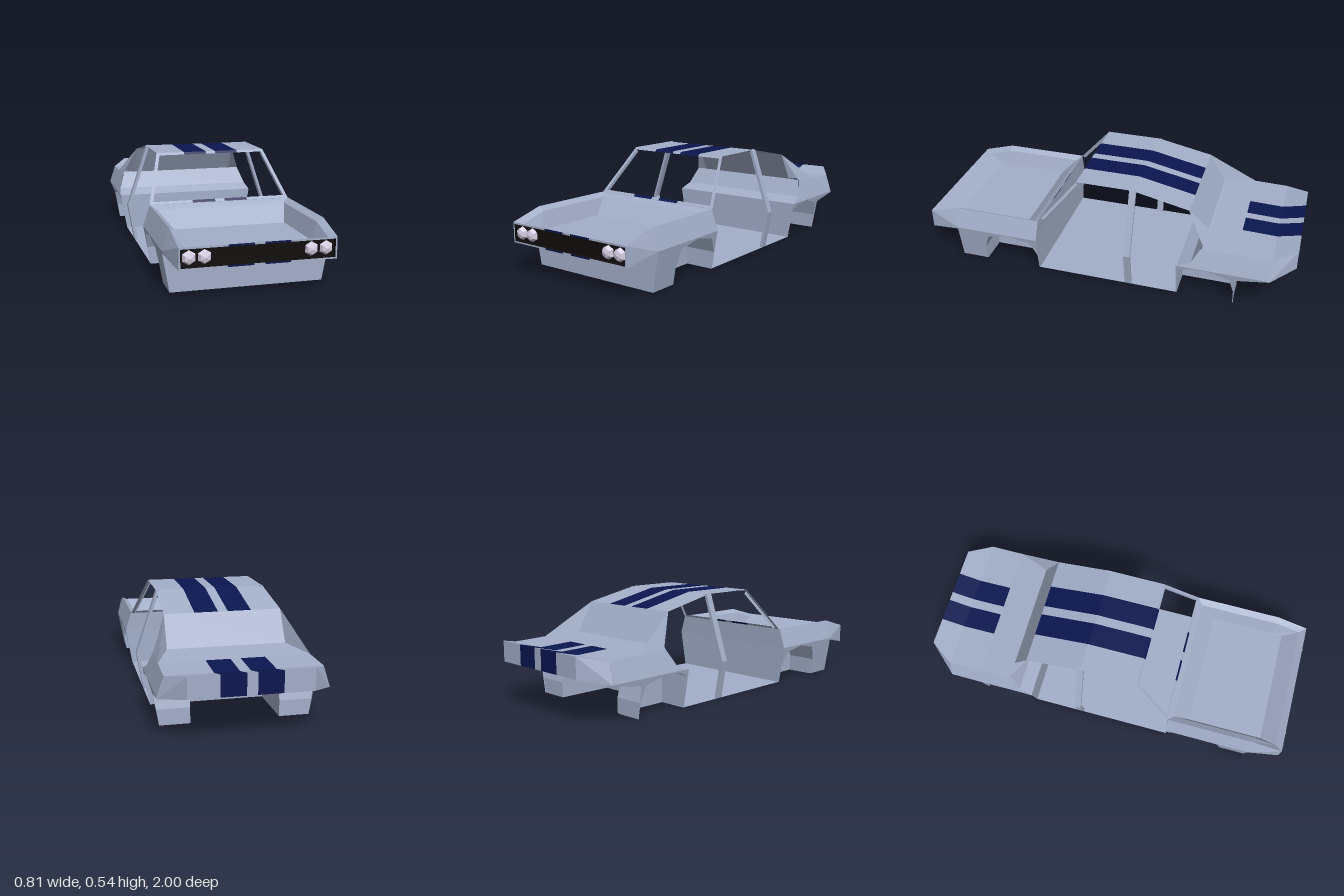
import * as THREE from 'three';

const mat = (color) => new THREE.MeshStandardMaterial({ color, flatShading: true, side: THREE.DoubleSide });

export function createModel() {
  const car = new THREE.Group();
  const paint = mat(0xa3aec8), navy = mat(0x0b1650), black = mat(0x0f0d0b), lampMat = mat(0xd8d0e6);

  const add = (name, geo, material = paint) => {
    geo.computeVertexNormals();
    const m = new THREE.Mesh(geo, material);
    m.name = name;
    car.add(m);
    return m;
  };

  // Sheet lofted through rows of [x, y, z] points
  const grid = (rows, closed = false) => {
    const n = rows[0].length, idx = [];
    for (let r = 0; r < rows.length - 1; r++) {
      for (let i = 0; i < (closed ? n : n - 1); i++) {
        const a = r * n + i, b = r * n + (i + 1) % n;
        idx.push(a, b, a + n, b, b + n, a + n);
      }
    }
    const g = new THREE.BufferGeometry();
    g.setAttribute('position', new THREE.Float32BufferAttribute(rows.flat(2), 3));
    g.setIndex(idx);
    return g;
  };

  // Sheet across the car, from a path of [z, y, halfWidth]
  const across = (path) => grid(path.map(([z, y, w]) => [[-w, y, z], [w, y, z]]));

  // The same, cut lengthwise into body colour and two racing stripes
  const striped = (name, path) => {
    for (let i = 0; i < 5; i++) {
      const cuts = (w) => [-w, -0.145, -0.025, 0.025, 0.145, w];
      const rows = path.map(([z, y, w]) => [[cuts(w)[i], y, z], [cuts(w)[i + 1], y, z]]);
      add(i % 2 ? name + 'Stripe' : name, grid(rows), i % 2 ? navy : paint);
    }
  };

  // Flat polygon whose points are placed by a rule
  const polygon = (pts, place) => {
    const g = new THREE.ShapeGeometry(new THREE.Shape(pts.map((p) => new THREE.Vector2(...p))));
    const p = g.attributes.position;
    for (let i = 0; i < p.count; i++) p.setXYZ(i, ...place(p.getX(i), p.getY(i)));
    return g;
  };

  // Half width of the body at height y, narrowing towards nose and tail
  const section = [[0, 0.37], [0.2, 0.405], [0.305, 0.37], [0.475, 0.298], [0.537, 0.292]];
  const halfWidth = (y, z) => {
    let k = 0;
    while (k < section.length - 2 && y > section[k + 1][0]) k++;
    const [y0, x0] = section[k], [y1, x1] = section[k + 1];
    const w = x0 + (x1 - x0) * (y - y0) / (y1 - y0);
    if (z > 0.82) return w + (0.366 - w) * (z - 0.82) / 0.17;
    if (z < -0.88) return w + (0.29 - w) * (-0.88 - z) / 0.12;
    return w;
  };

  // Side panels, given as [z, y] outlines and mirrored
  const sidePanel = (name, pts) => {
    for (const s of [1, -1]) add(name, polygon(pts, (z, y) => [s * halfWidth(y, z), y, z]));
  };
  const frontArch = [[0.365, 0], [0.365, 0.09], [0.4, 0.17], [0.525, 0.195], [0.64, 0.17], [0.672, 0.09], [0.672, 0]];
  const rearArch = [[-0.41, 0], [-0.41, 0.165], [-0.46, 0.187], [-0.56, 0.195], [-0.68, 0.165], [-0.705, 0.08], [-0.705, 0]];
  sidePanel('frontFenderLower', [[0.36, 0.2], [0.36, 0], ...frontArch, [0.82, 0], [0.82, 0.2]]);
  sidePanel('frontFenderUpper', [[0.36, 0.2], [0.82, 0.2], [0.82, 0.305], [0.36, 0.305]]);
  sidePanel('noseSideUpper', [[0.82, 0.2], [0.99, 0.2], [0.99, 0.257], [0.82, 0.305]]);
  sidePanel('noseSideLower', [[0.82, 0.2], [0.82, 0.19], [0.99, 0.155], [0.99, 0.2]]);
  sidePanel('rearFenderLower', [[-0.405, 0.2], [-0.405, 0], ...rearArch, [-0.71, 0], [-0.71, 0.165], [-0.88, 0.195], [-0.88, 0.2]]);
  sidePanel('rearFenderUpper', [[-0.41, 0.2], [-0.48, 0.23], [-0.525, 0.305], [-0.7, 0.305], [-0.88, 0.3], [-0.88, 0.2]]);
  sidePanel('tailSide', [[-0.88, 0.195], [-0.88, 0.3], [-1, 0.33], [-1, 0.225]]);
  sidePanel('rearPillar', [[-0.525, 0.305], [-0.53, 0.32], [-0.44, 0.475], [-0.7, 0.305]]);

  // Wheel wells: lining and inner wall
  for (const s of [1, -1]) {
    for (const arch of [frontArch, rearArch]) {
      add('wheelWellLining', grid([
        arch.map(([z, y]) => [s * halfWidth(y, z), y, z]),
        arch.map(([z, y]) => [s * 0.22, y, z]),
      ]));
      add('wheelWellWall', polygon(arch, (z, y) => [s * 0.22, y, z]));
    }
  }

  // Floor, notched round the front wells
  const floorEdge = [[0.37, -0.41], [0.37, 0.365], [0.22, 0.365], [0.22, 0.672], [0.37, 0.672], [0.37, 0.82]];
  const mirrored = floorEdge.map(([x, z]) => [-x, z]).reverse();
  add('floor', polygon([...floorEdge, ...mirrored], (x, z) => [x, 0, z]));

  // Cross walls
  add('frontApron', across([[0.82, 0, 0.37], [0.82, 0.19, 0.403]]));
  add('firewall', across([[0.36, 0, 0.37], [0.36, 0.2, 0.405], [0.357, 0.305, 0.37]]));
  add('cabinRearWall', across([[-0.41, 0, 0.37], [-0.41, 0.2, 0.405], [-0.48, 0.23, 0.395], [-0.53, 0.32, 0.363]]));

  // Open engine bay, stepping down from the fender tops
  const ring = (half) => [...half, ...half.map(([x, y, z]) => [-x, y, z]).reverse()];
  add('engineBayWalls', grid([
    ring([[0.37, 0.305, 0.355], [0.37, 0.305, 0.82], [0.366, 0.257, 0.99]]),
    ring([[0.338, 0.285, 0.385], [0.338, 0.285, 0.82], [0.338, 0.243, 0.955]]),
    ring([[0.31, 0.2, 0.47], [0.31, 0.2, 0.82], [0.31, 0.2, 0.87]]),
  ], true));
  add('engineBayFloor', across([[0.47, 0.2, 0.31], [0.87, 0.2, 0.31]]));

  // Nose frame, recessed grille and paired lamps
  striped('noseBarTop', [[0.99, 0.248, 0.366], [0.99, 0.257, 0.366]]);
  striped('noseBarBottom', [[0.99, 0.155, 0.366], [0.99, 0.163, 0.366]]);
  const rect = (z) => [[-0.358, 0.163, z], [0.358, 0.163, z], [0.358, 0.248, z], [-0.358, 0.248, z]];
  add('grilleSurround', grid([rect(0.99), rect(0.97)], true), black);
  add('grille', across([[0.97, 0.163, 0.358], [0.97, 0.248, 0.358]]), black);
  for (const s of [1, -1]) {
    add('noseBarSide', grid([
      [[s * 0.358, 0.163, 0.99], [s * 0.366, 0.163, 0.99]],
      [[s * 0.358, 0.248, 0.99], [s * 0.366, 0.248, 0.99]],
    ]));
    for (const x of [0.247, 0.317]) {
      const g = new THREE.SphereGeometry(0.034, 6, 4).rotateY(Math.PI / 6).rotateX(Math.PI / 2).scale(1, 1, 0.72);
      add('headlamp', g, lampMat).position.set(s * x, 0.206, 0.9755);
    }
  }

  // Windscreen frame; t runs from cowl to roof
  const screen = (t) => [0.355 - 0.195 * t, 0.305 + 0.232 * t, 0.37 - 0.077 * t];
  striped('cowl', [screen(0), screen(0.05)]);
  striped('screenHeader', [screen(0.95), screen(1)]);
  for (const s of [1, -1]) {
    add('screenPillar', grid([0.05, 0.95].map((t) => {
      const [z, y, w] = screen(t);
      return [[s * w, y, z], [s * (w - 0.018), y, z], [s * (w - 0.018), y - 0.012, z - 0.012]];
    })));
  }

  // Roof, recessed rear window, shelf and the buttresses beside it
  striped('roof', [[0.16, 0.537, 0.293], [-0.14, 0.537, 0.293], [-0.44, 0.475, 0.298]]);
  add('rearWindow', across([[-0.44, 0.475, 0.298], [-0.53, 0.32, 0.3]]));
  add('rearShelf', across([[-0.53, 0.32, 0.3], [-0.7, 0.305, 0.37]]));
  for (const s of [1, -1]) {
    add('buttressInner', grid([
      [[s * 0.298, 0.475, -0.44], [s * 0.3, 0.32, -0.53]],
      [[s * 0.37, 0.305, -0.7], [s * 0.335, 0.313, -0.615]],
    ]));
  }

  // Boot lid with raised lip, running down the tail panel
  striped('bootLid', [[-0.7, 0.305, 0.37], [-0.88, 0.3, 0.372], [-1, 0.33, 0.29], [-1, 0.225, 0.29]]);

  // Bent pillars between the door openings
  const bend = [[0.37, 0], [0.405, 0.2], [0.37, 0.305], [0.293, 0.537]];
  const outline = [...bend, ...bend.map(([x, y]) => [x - 0.016, y]).reverse()];
  for (const s of [1, -1]) {
    const shape = new THREE.Shape(outline.map(([x, y]) => new THREE.Vector2(s * x, y)));
    add('centrePillar', new THREE.ExtrudeGeometry(shape, { depth: 0.035, bevelEnabled: false })).position.z = -0.16;
  }

  return car;
}
